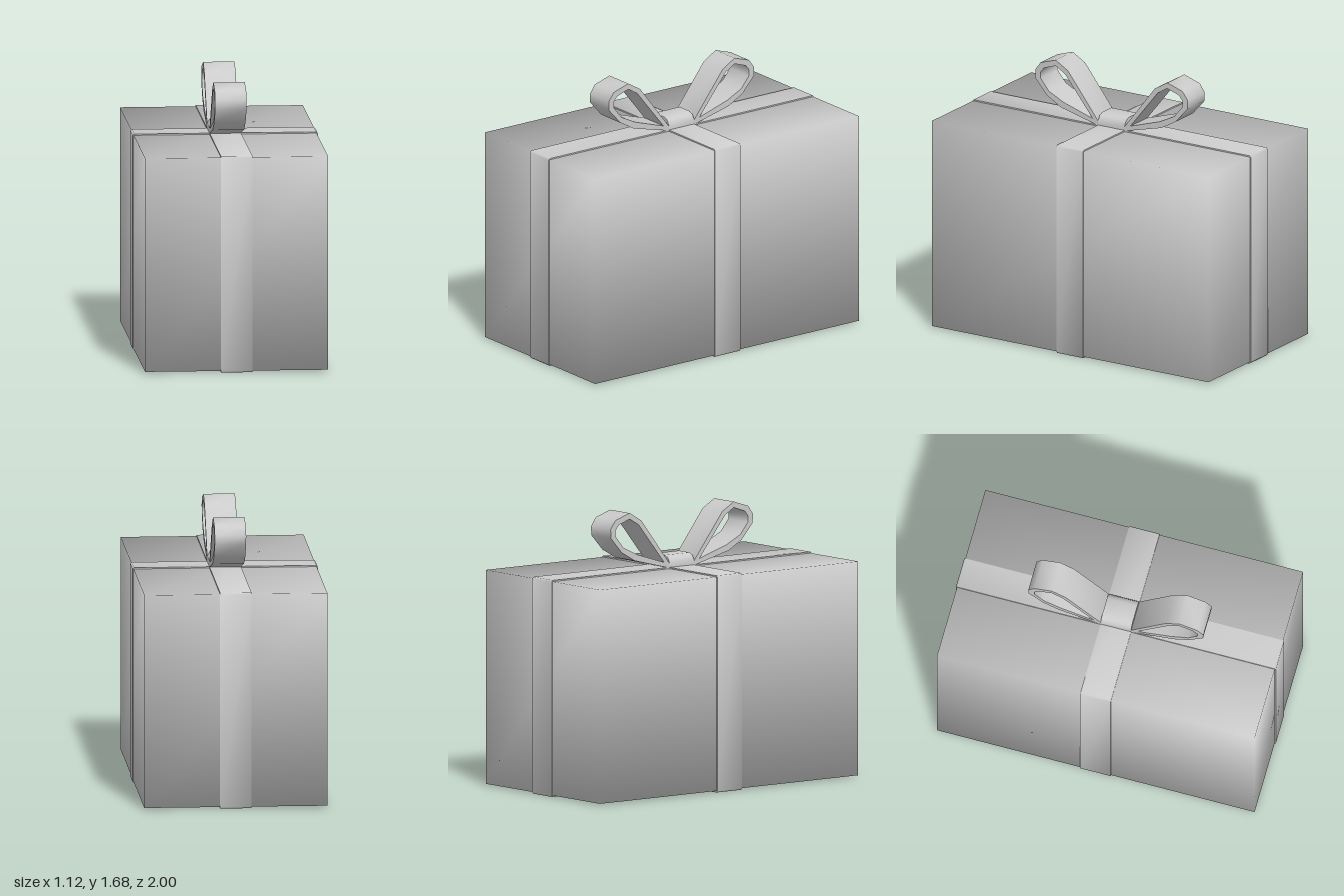
import * as THREE from 'three';
import { mergeVertices, toCreasedNormals } from 'three/addons/utils/BufferGeometryUtils.js';

const material = new THREE.MeshStandardMaterial({ color: 0xcccccc });
const RIBBON = 0.19; // ribbon width

function toPoints(list) {
  return list.map(([x, y]) => new THREE.Vector2(x, y));
}

// Extrudes an outline by the ribbon width, centred on z = 0
function ribbonGeometry(outline, hole) {
  const shape = new THREE.Shape(toPoints(outline));
  if (hole) shape.holes.push(new THREE.Path(toPoints(hole)));
  const geo = new THREE.ExtrudeGeometry(shape, { depth: RIBBON, bevelEnabled: false });
  geo.translate(0, 0, -RIBBON / 2);
  return toCreasedNormals(geo, 0.9);
}

// Rectangle with small cut corners
function cutRectangle(halfWidth, bottom, top, cut) {
  const w = halfWidth, c = cut;
  return [
    [-w + c, bottom], [w - c, bottom], [w, bottom + c], [w, top - c],
    [w - c, top], [-w + c, top], [-w, top - c], [-w, bottom + c],
  ];
}

export function createModel() {
  const group = new THREE.Group();
  const add = (name, geometry, turn = 0) => {
    const mesh = new THREE.Mesh(geometry, material);
    mesh.name = name;
    mesh.rotation.y = turn;
    group.add(mesh);
  };

  // Box with normals shared across its corners for soft shading
  let box = new THREE.BoxGeometry(1.106, 1.302, 1.986);
  box.deleteAttribute('normal');
  box.deleteAttribute('uv');
  box = mergeVertices(box);
  box.computeVertexNormals();
  box.translate(0, 0.661, 0);
  add('giftBox', box);

  // Two ribbon bands wrapped around the box
  add('crossBand', ribbonGeometry(cutRectangle(0.56, 0, 1.32, 0.01)));
  add('lengthBand', ribbonGeometry(cutRectangle(1, 0, 1.32, 0.01)), Math.PI / 2);

  // Rounded knot between the loops
  const knot = ribbonGeometry([
    [-0.095, 1.315], [0.095, 1.315], [0.095, 1.35], [0.08, 1.377], [0.05, 1.39],
    [-0.05, 1.39], [-0.08, 1.377], [-0.095, 1.35],
  ]);
  add('knot', knot);

  // Bow loops: a bent strip seen from its edge
  const outer = [
    [0.09, 1.315], [0.36, 1.383], [0.46, 1.44], [0.545, 1.535], [0.547, 1.59],
    [0.51, 1.642], [0.4, 1.677], [0.312, 1.625], [0.095, 1.345],
  ];
  const inner = [
    [0.135, 1.354], [0.345, 1.42], [0.45, 1.472], [0.508, 1.542], [0.51, 1.58],
    [0.485, 1.612], [0.4, 1.641], [0.332, 1.6],
  ];
  const loop = ribbonGeometry(outer, inner);
  add('frontBowLoop', loop, -Math.PI / 2);
  add('backBowLoop', loop, Math.PI / 2);

  return group;
}
